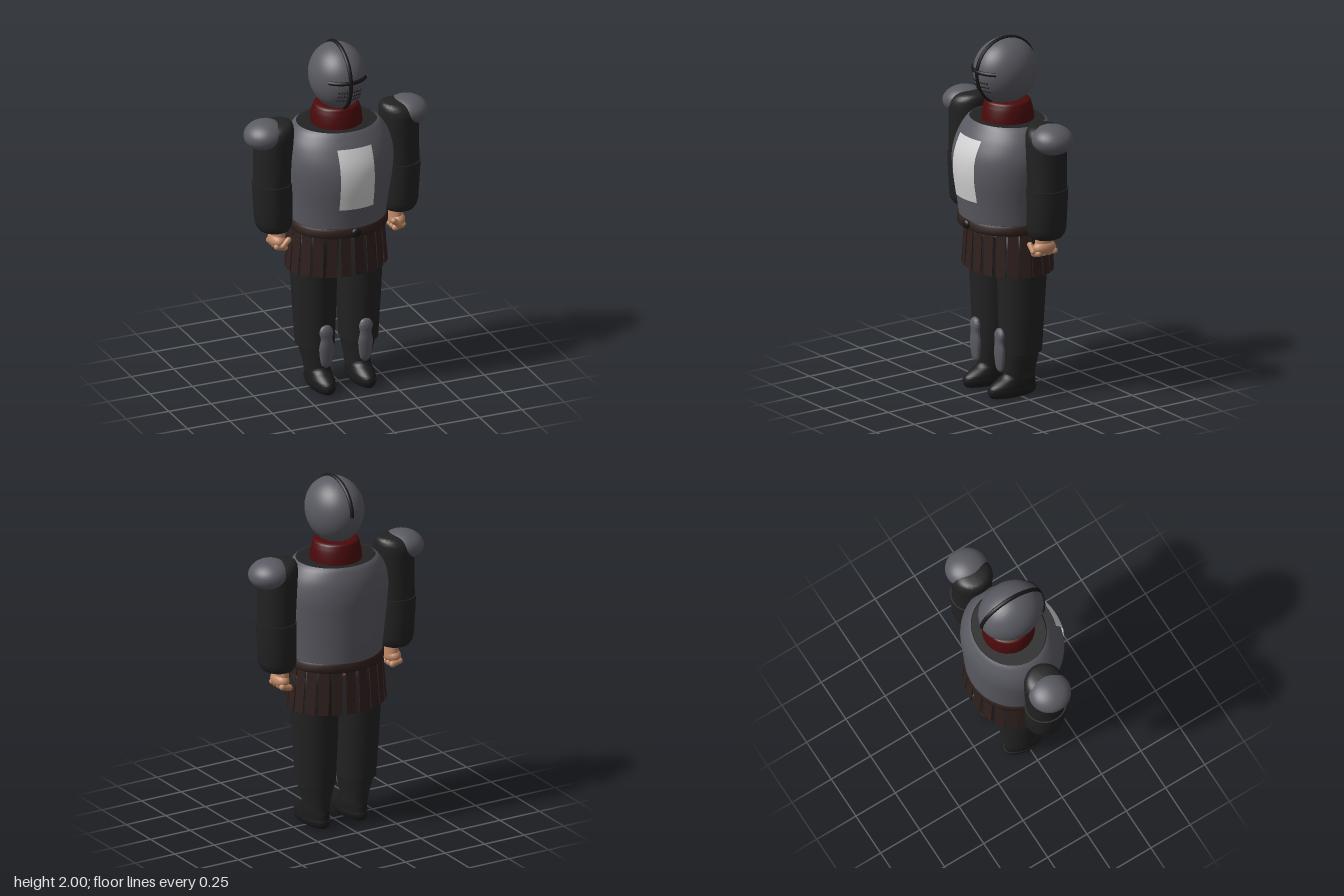
import * as THREE from 'three';
import { toCreasedNormals } from 'three/addons/utils/BufferGeometryUtils.js';

const mat = (name, color, side = THREE.FrontSide) => {
  const m = new THREE.MeshStandardMaterial({ color, side });
  m.name = name;
  return m;
};

// Catmull-Rom densify of cross-section rows [y, rx, rz, cx, cz]
function smooth(rows, n = 5) {
  const out = [];
  const at = i => rows[Math.max(0, Math.min(rows.length - 1, i))];
  for (let i = 0; i < rows.length - 1; i++) {
    for (let k = 0; k < n; k++) {
      const t = k / n;
      out.push(rows[0].map((_, c) => {
        const [a, b, d, e] = [at(i - 1)[c], at(i)[c], at(i + 1)[c], at(i + 2)[c]];
        const v = b + 0.5 * t * (d - a + t * (2 * a - 5 * b + 4 * d - e + t * (3 * (b - d) + e - a)));
        return c === 1 || c === 2 ? Math.max(0, v) : v;
      }));
    }
  }
  out.push(at(rows.length - 1));
  return out;
}

const ringPoint = ([y, rx, rz, cx, cz], a) =>
  new THREE.Vector3(cx + rx * Math.sin(a), y, cz + rz * Math.cos(a));

// Surface through stacked ellipses, listed from bottom to top
function loft(rows, seg = 40, crease = 0.7) {
  const pos = [], idx = [];
  rows.forEach((r, i) => {
    for (let j = 0; j < seg; j++) {
      pos.push(...ringPoint(r, j / seg * Math.PI * 2).toArray());
      if (i === rows.length - 1) continue;
      const k = (j + 1) % seg, a = i * seg + j, b = i * seg + k;
      if (r[1] > 1e-4) idx.push(a, b, b + seg);
      if (rows[i + 1][1] > 1e-4) idx.push(a, b + seg, a + seg);
    }
  });
  const g = new THREE.BufferGeometry();
  g.setAttribute('position', new THREE.Float32BufferAttribute(pos, 3));
  g.setIndex(idx);
  return toCreasedNormals(g, crease);
}

const capped = rows => {
  const end = r => [r[0], 0, 0, r[3], r[4]];
  return [end(rows[0]), ...rows, end(rows[rows.length - 1])];
};

export function createModel() {
  const model = new THREE.Group();
  const armour = mat('steel', 0x5a5a62, THREE.DoubleSide);
  const cloth = mat('darkCloth', 0x222222);
  const black = mat('blackIron', 0x17171a);
  const boot = mat('bootLeather', 0x1b1b1b);
  const red = mat('redCollar', 0x4b0a0c);
  const brown = mat('brownLeather', 0x2f201d, THREE.DoubleSide);
  const skin = mat('skin', 0xbf8866);
  const white = mat('whitePanel', 0xd2d2d2, THREE.DoubleSide);

  const add = (name, geo, material, parent = model) => {
    const m = new THREE.Mesh(geo, material);
    m.name = name;
    parent.add(m);
    return m;
  };
  const ball = (name, material, parent, p, s) => {
    const m = add(name, new THREE.SphereGeometry(1, 28, 20), material, parent);
    m.position.set(...p);
    m.scale.set(...s);
    return m;
  };

  // Breastplate shell, open at the neck, with a dark lining
  const torsoRows = smooth([
    [0.96, 0.262, 0.24, 0, -0.015], [1.1, 0.277, 0.254, 0, -0.01], [1.25, 0.298, 0.268, 0, -0.003],
    [1.36, 0.305, 0.267, 0, -0.008], [1.45, 0.287, 0.245, 0, -0.02], [1.515, 0.25, 0.215, 0, -0.027],
    [1.54, 0.222, 0.197, 0, -0.027]]);
  add('breastplate', loft(torsoRows, 64), armour);
  add('neckLining', loft([[1.5, 0.24, 0.205, 0, -0.027], [1.532, 0.219, 0.193, 0, -0.027],
    [1.532, 0, 0, 0, -0.027]], 48), cloth);
  const torsoAt = y => {
    const i = Math.max(1, torsoRows.findIndex(r => r[0] >= y));
    const a = torsoRows[i - 1], b = torsoRows[i], t = (y - a[0]) / (b[0] - a[0]);
    return a.map((v, c) => v + (b[c] - v) * t);
  };

  // Pale panel wrapped over the chest
  const panel = new THREE.PlaneGeometry(0.2, 0.345, 12, 14);
  const pp = panel.attributes.position;
  for (let i = 0; i < pp.count; i++) {
    const x = pp.getX(i), y = pp.getY(i) + 1.2925, r = torsoAt(y);
    pp.setXYZ(i, x, y, r[4] + r[2] * Math.sqrt(1 - (x / r[1]) ** 2) + 0.009);
  }
  panel.computeVertexNormals();
  add('chestPanel', panel, white);

  // Collar
  add('collar', loft(smooth([[1.52, 0.142, 0.145, 0, -0.03], [1.57, 0.139, 0.14, 0, -0.03],
    [1.62, 0.128, 0.128, 0, -0.03], [1.643, 0.105, 0.108, 0, -0.03], [1.646, 0, 0, 0, -0.03]]), 40), red);

  // Egg-shaped helmet with ridge, eye bar and breathing studs
  const helmetRow = f => [1.81 + (f > 0 ? 0.177 : 0.19) * Math.sin(f),
    0.153 * Math.cos(f), 0.184 * Math.cos(f), 0, -0.015];
  const helmetFromY = y => helmetRow(Math.asin((y - 1.81) / (y > 1.81 ? 0.177 : 0.19)));
  const helmet = new THREE.Group();
  helmet.name = 'helmet';
  model.add(helmet);
  const helmetRows = [];
  for (let i = 0; i <= 28; i++) helmetRows.push(helmetRow(-Math.PI / 2 + Math.PI * i / 28));
  add('helmetShell', loft(helmetRows, 48, 1.2), armour, helmet);
  const ridge = [], bar = [];
  for (let i = 0; i <= 30; i++) {
    const f = -1.05 + i / 30 * (Math.PI + 1.05);
    ridge.push(new THREE.Vector3(0, 1.81 + (f > 0 ? 0.177 : 0.19) * Math.sin(f), -0.015 + 0.184 * Math.cos(f)));
  }
  for (let i = 0; i <= 12; i++) bar.push(ringPoint(helmetFromY(1.825), -0.77 + 1.54 * i / 12));
  const tube = (pts, n) => new THREE.TubeGeometry(new THREE.CatmullRomCurve3(pts), n, 0.0115, 8);
  add('helmetRidge', tube(ridge, 60), black, helmet);
  add('eyeBar', tube(bar, 24), black, helmet);
  for (const y of [1.77, 1.745, 1.72]) for (const s of [-1, 1]) for (let k = 0; k < 4; k++) {
    const x = s * (0.022 + k * 0.0135), r = helmetFromY(y);
    const stud = add('breathingStud', new THREE.SphereGeometry(0.006, 8, 6), black, helmet);
    stud.position.copy(ringPoint(r, Math.asin(x / r[1])));
  }

  // Belt, buckle and hanging leather strips
  add('belt', loft(capped([[0.942, 0.272, 0.245, 0, -0.012], [0.95, 0.277, 0.25, 0, -0.012],
    [0.985, 0.277, 0.25, 0, -0.012], [0.997, 0.27, 0.244, 0, -0.012]]), 56), brown);
  ball('buckle', black, model, [0, 0.975, 0.24], [0.028, 0.025, 0.016]);
  const count = 22;
  for (let i = 0; i < count; i++) {
    const a = (i + 0.5) / count * Math.PI * 2;
    const top = ringPoint([0.955, 0.262, 0.215, 0, -0.03], a);
    const low = ringPoint([0.702, 0.284, 0.228, 0, -0.03], a);
    const out = new THREE.Vector3(Math.sin(a) / 0.284, 0, Math.cos(a) / 0.228).normalize();
    const down = low.clone().sub(top), across = new THREE.Vector3(out.z, 0, -out.x);
    const strip = add('skirtStrip', new THREE.BoxGeometry(0.056, down.length(), 0.006), brown);
    const up = down.clone().negate().normalize();
    strip.quaternion.setFromRotationMatrix(
      new THREE.Matrix4().makeBasis(across, up, across.clone().cross(up)));
    strip.position.copy(top).add(low).multiplyScalar(0.5);
  }
  ball('pelvis', skin, model, [0, 0.95, -0.03], [0.17, 0.1, 0.155]);

  for (const s of [-1, 1]) {
    // Leg: trouser, gaiter, shin guard and boot
    const leg = new THREE.Group();
    leg.name = s > 0 ? 'leftLeg' : 'rightLeg';
    model.add(leg);
    const X = v => s * v;
    add('trouser', loft([[0.245, 0, 0, X(0.128), -0.027], [0.245, 0.106, 0.12, X(0.128), -0.027],
      [0.5, 0.12, 0.13, X(0.131), -0.029], [0.7, 0.127, 0.139, X(0.134), -0.031],
      [0.85, 0.139, 0.142, X(0.136), -0.031], [0.9, 0.136, 0.132, X(0.136), -0.031],
      [0.935, 0.11, 0.105, X(0.136), -0.031], [0.96, 0.06, 0.06, X(0.136), -0.031],
      [0.965, 0, 0, X(0.136), -0.031]], 40), cloth, leg);
    add('gaiter', loft([[0.09, 0.066, 0.092, X(0.119), -0.023], [0.13, 0.07, 0.096, X(0.12), -0.022],
      [0.25, 0.1, 0.108, X(0.124), -0.025]], 36), cloth, leg);
    add('shinGuard', loft(smooth([[0.135, 0, 0, X(0.115), 0.1], [0.155, 0.027, 0.013, X(0.115), 0.1],
      [0.2, 0.038, 0.019, X(0.115), 0.101], [0.26, 0.042, 0.022, X(0.115), 0.102],
      [0.31, 0.033, 0.02, X(0.115), 0.103], [0.35, 0.04, 0.021, X(0.117), 0.103],
      [0.38, 0.026, 0.014, X(0.117), 0.1], [0.39, 0, 0, X(0.117), 0.1]]), 28), armour, leg);
    add('boot', loft(smooth([[0.035, 0.065, 0.147, X(0.119), 0.023], [0.06, 0.065, 0.142, X(0.119), 0.02],
      [0.085, 0.062, 0.124, X(0.119), 0.003], [0.108, 0.063, 0.1, X(0.119), -0.015],
      [0.13, 0.068, 0.094, X(0.119), -0.022]]), 36), boot, leg);
    add('bootSole', loft(capped([[0, 0.054, 0.135, X(0.119), 0.022], [0.012, 0.063, 0.146, X(0.119), 0.022],
      [0.036, 0.069, 0.154, X(0.119), 0.023], [0.046, 0.067, 0.152, X(0.119), 0.023]]), 36), boot, leg);

    // Arm: padded sleeve in two sections and a shoulder cap
    const arm = new THREE.Group();
    arm.name = s > 0 ? 'leftArm' : 'rightArm';
    model.add(arm);
    add('upperSleeve', loft(smooth([[1.2, 0.103, 0.108, X(0.378), -0.03], [1.32, 0.105, 0.11, X(0.374), -0.03],
      [1.45, 0.107, 0.113, X(0.37), -0.03], [1.52, 0.106, 0.113, X(0.366), -0.03],
      [1.56, 0.09, 0.096, X(0.352), -0.03], [1.582, 0.056, 0.06, X(0.335), -0.03],
      [1.588, 0, 0, X(0.33), -0.03]]), 40), cloth, arm);
    add('lowerSleeve', loft([[0.947, 0, 0, X(0.366), -0.03], [0.947, 0.06, 0.065, X(0.366), -0.03],
      [0.957, 0.082, 0.088, X(0.367), -0.03], [0.98, 0.096, 0.104, X(0.369), -0.03],
      [1.01, 0.102, 0.11, X(0.371), -0.03], [1.13, 0.106, 0.113, X(0.375), -0.03],
      [1.235, 0.109, 0.116, X(0.378), -0.03], [1.235, 0.08, 0.08, X(0.378), -0.03]], 40), cloth, arm);
    const cap = ball('shoulderCap', armour, arm, [X(0.423), 1.52, -0.032], [0.113, 0.08, 0.117]);
    cap.rotation.z = -s * 0.12;

    // Clenched hand
    const hand = new THREE.Group();
    hand.name = s > 0 ? 'leftHand' : 'rightHand';
    arm.add(hand);
    add('wrist', loft([[0.88, 0.04, 0.058, X(0.347), -0.03], [0.96, 0.036, 0.05, X(0.347), -0.03]], 20), skin, hand);
    ball('palm', skin, hand, [X(0.352), 0.89, -0.028], [0.045, 0.042, 0.07]);
    for (let k = 0; k < 4; k++) {
      const z = -0.083 + k * 0.034;
      const finger = add('finger', new THREE.CapsuleGeometry(0.0185, 0.045, 5, 12), skin, hand);
      finger.rotation.z = Math.PI / 2 + s * 0.25;
      finger.position.set(X(0.348), 0.86, z);
    }
    const thumb = add('thumb', new THREE.CapsuleGeometry(0.016, 0.045, 5, 12), skin, hand);
    thumb.rotation.z = s * 0.8;
    thumb.position.set(X(0.327), 0.888, 0.037);
  }
  return model;
}
